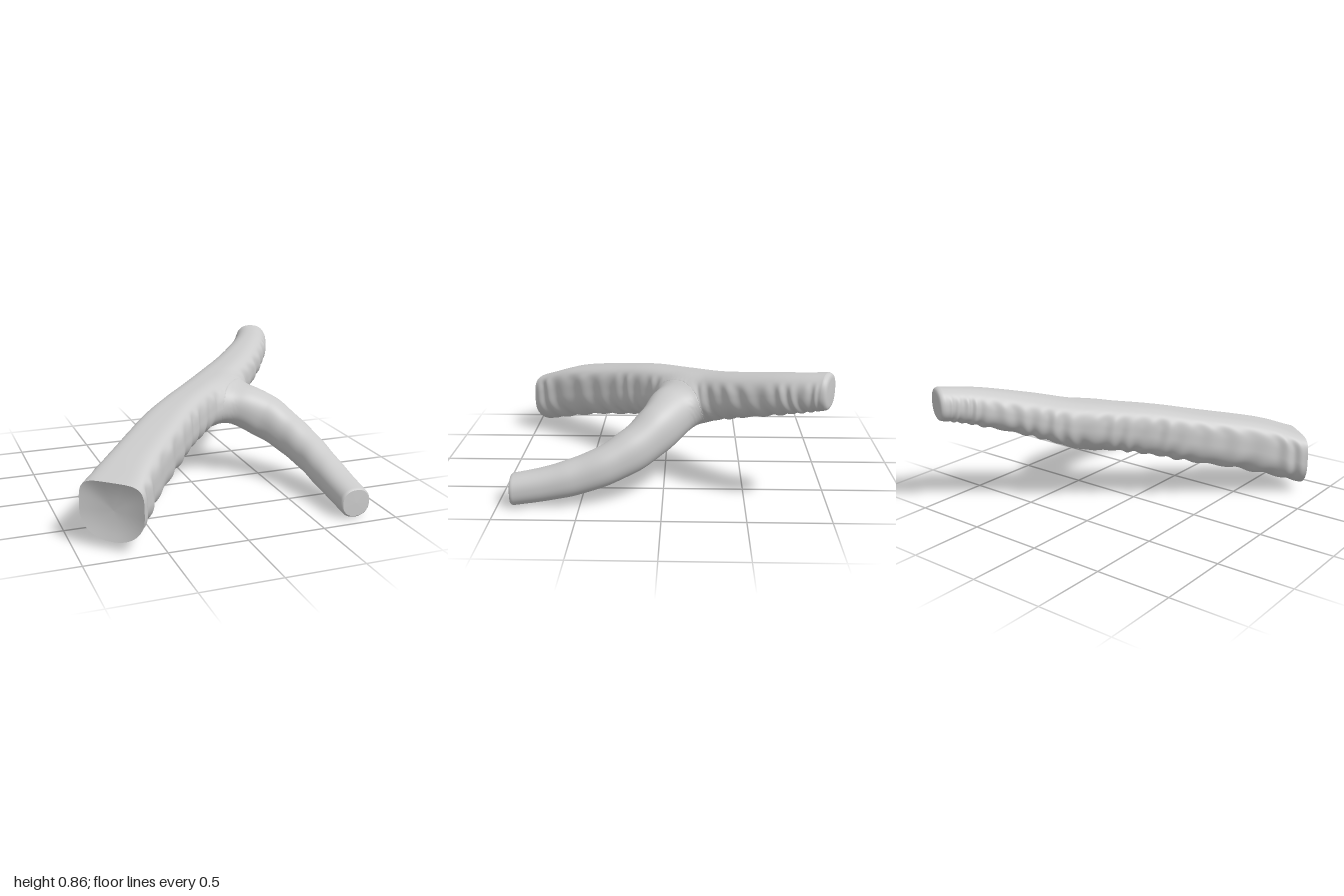
import * as THREE from 'three';

const material = new THREE.MeshStandardMaterial({ color: 0xcccccc, side: THREE.DoubleSide });
const SIDES = 80, SAMPLES = 240, BLEND = 0.12, OVERLAP = 0.03;
const UP = new THREE.Vector3(0, 1, 0);
const AXES = [[1, 0, 0], [0, 1, 0], [0, 0, 1]].map(a => new THREE.Vector3(...a));
const { smoothstep } = THREE.MathUtils;

// A swept limb from stations [x, y, z, halfWidth, halfHeight, topSquareness]
function createLimb(stations) {
  const curve = from => new THREE.CatmullRomCurve3(
    stations.map(s => new THREE.Vector3(...s.slice(from, from + 3))), false, 'catmullrom');
  const path = curve(0), size = curve(3);
  // Sections lean with the path but stand upright at both ends
  const frame = t => {
    const T = path.getTangent(t);
    T.setY(T.y * 0.75 * smoothstep(Math.min(t, 1 - t), 0, 0.15)).normalize();
    const side = new THREE.Vector3().crossVectors(T, UP).normalize();
    return { c: path.getPoint(t), s: size.getPoint(t), T, side, up: new THREE.Vector3().crossVectors(side, T) };
  };
  const samples = Array.from({ length: SAMPLES + 1 }, (_, i) => frame(i / SAMPLES));
  const q = new THREE.Vector3();

  // Approximate signed distance from a point to the smooth limb
  const distance = p => {
    let near = samples[0], best = Infinity;
    for (const f of samples) {
      const d = f.c.distanceToSquared(p);
      if (d < best) { best = d; near = f; }
    }
    q.subVectors(p, near.c);
    const u = q.dot(near.side), v = q.dot(near.up);
    const n = v > 0 ? near.s.z : 2.2;
    const k = Math.max((Math.abs(u / near.s.x) ** n + Math.abs(v / near.s.y) ** n) ** (1 / n), 0.05);
    const d = Math.hypot(u, v) * (1 - 1 / k);
    const beyond = near === samples[0] ? -q.dot(near.T) : 0;
    return beyond > 0 ? Math.max(d, beyond - 0.02) : d;
  };
  return { frame, distance };
}

// Moves a surface point onto the smooth union of both limbs;
// points inside the other limb sink below it so the skins tuck together
function weld(p, gap, own, other) {
  const level = own.distance(p) * smoothstep(gap, 0, BLEND) - 0.5 * Math.max(0, -gap - 0.004);
  const field = x => {
    const a = own.distance(x), b = other.distance(x);
    const h = Math.max(BLEND - Math.abs(a - b), 0) / BLEND;
    return Math.min(a, b) - h * h * BLEND / 4 - level;
  };
  const step = 0.012;
  for (let i = 0; i < 4; i++) {
    const g = new THREE.Vector3(...AXES.map(axis =>
      (field(p.clone().addScaledVector(axis, step)) - field(p.clone().addScaledVector(axis, -step))) / (2 * step)));
    p.addScaledVector(g, -field(p) / Math.max(g.lengthSq(), 0.4));
  }
}

// Skins a limb; caps are lists of [scale, offset along the path]
function skin(name, own, other, rows, ripple, startCap, endCap) {
  const positions = [], index = [], buried = [];
  const addRow = (t, scale, offset) => {
    const { c, s, T, side, up } = own.frame(t);
    for (let j = 0; j < SIDES; j++) {
      const a = j / SIDES * Math.PI * 2, ca = Math.cos(a), sa = Math.sin(a);
      const e = 2 / (sa > 0 ? s.z : 2.2);
      const k = scale * ripple(t, a);
      const p = c.clone().addScaledVector(T, offset)
        .addScaledVector(side, Math.sign(ca) * Math.abs(ca) ** e * s.x * k)
        .addScaledVector(up, Math.sign(sa) * Math.abs(sa) ** e * s.y * k);
      const gap = other.distance(p);
      buried.push(gap < -OVERLAP);
      if (gap >= -OVERLAP && gap < BLEND) weld(p, gap, own, other);
      positions.push(p.x, p.y, p.z);
    }
  };
  for (const [k, o] of startCap) addRow(0, k, o);
  for (let i = 0; i <= rows; i++) addRow(i / rows, 1, 0);
  for (const [k, o] of endCap) addRow(1, k, o);

  const count = positions.length / 3 / SIDES;
  for (let i = 0; i < count - 1; i++) {
    for (let j = 0; j < SIDES; j++) {
      const n = (j + 1) % SIDES;
      const a = i * SIDES + j, b = i * SIDES + n, c = a + SIDES, d = b + SIDES;
      if (![a, b, c, d].some(v => buried[v])) index.push(a, c, b, b, c, d);
    }
  }
  const geometry = new THREE.BufferGeometry();
  geometry.setAttribute('position', new THREE.Float32BufferAttribute(positions, 3));
  geometry.setIndex(index);
  geometry.computeVertexNormals();
  const mesh = new THREE.Mesh(geometry, material);
  mesh.name = name;
  return mesh;
}

const roundedEnd = [[0.98, 0.01], [0.93, 0.02], [0.84, 0.026], [0.7, 0.029], [0, 0.03]];
const flatEnd = [[0.97, 0.01], [0.9, 0.016], [0.9, 0.016], [0, 0.018]];
const hollowEnd = [[0, 0.03], [0.4, 0.027], [0.75, 0.015], [1, 0], [1, 0]];

export function createModel() {
  const group = new THREE.Group();
  group.name = 'branchingTube';

  const main = createLimb([
    [-0.79, 0.235, 0.858, 0.208, 0.182, 4.5],
    [-0.575, 0.337, 0.615, 0.175, 0.18, 4],
    [-0.28, 0.435, 0.27, 0.165, 0.172, 3.6],
    [-0.09, 0.49, 0.08, 0.155, 0.166, 3.2],
    [0.115, 0.53, -0.11, 0.158, 0.158, 3],
    [0.32, 0.57, -0.31, 0.16, 0.15, 2.8],
    [0.51, 0.63, -0.485, 0.15, 0.137, 2.6],
    [0.695, 0.695, -0.7, 0.13, 0.124, 2.4],
    [0.785, 0.73, -0.84, 0.118, 0.114, 2.3],
    [0.832, 0.75, -0.945, 0.111, 0.11, 2.3],
  ]);
  const branch = createLimb([
    [0.21, 0.5, -0.18, 0.19, 0.08, 2.2],
    [0.37, 0.505, -0.08, 0.17, 0.14, 2.2],
    [0.535, 0.425, 0.03, 0.135, 0.148, 2.2],
    [0.65, 0.33, 0.17, 0.12, 0.132, 2.2],
    [0.72, 0.245, 0.34, 0.112, 0.12, 2.2],
    [0.75, 0.175, 0.54, 0.107, 0.11, 2.2],
    [0.758, 0.13, 0.72, 0.103, 0.1, 2.3],
    [0.76, 0.098, 0.9, 0.1, 0.096, 2.3],
  ]);

  // Long tube: flat along the top, ribbed around the sides and underside
  const ribs = (t, a) => {
    const mask = smoothstep(0.75 - Math.sin(a), 0, 0.5);
    const fade = smoothstep(t, 0, 0.03) * smoothstep(1 - t, 0, 0.06);
    const phase = t * 21 * Math.PI * 2 + 0.9 * Math.sin(2 * a + t * 9) + 0.5 * Math.sin(t * 31);
    const strength = 0.036 + 0.014 * Math.sin(t * 47 + 2 * a);
    return 1 + mask * fade * strength * Math.sin(phase);
  };
  group.add(skin('mainTube', main, branch, 300, ribs, hollowEnd, roundedEnd));

  // Side branch: flows out of the long tube, bends down and forward
  const lumps = (t, a) => 1 + 0.018 * Math.sin(t * 34 + 1.2 * Math.sin(a)) *
    Math.sin(a + t * 8) * smoothstep(0.85 - t, 0, 0.2);
  group.add(skin('sideBranch', branch, main, 170, lumps, [], flatEnd));

  return group;
}
